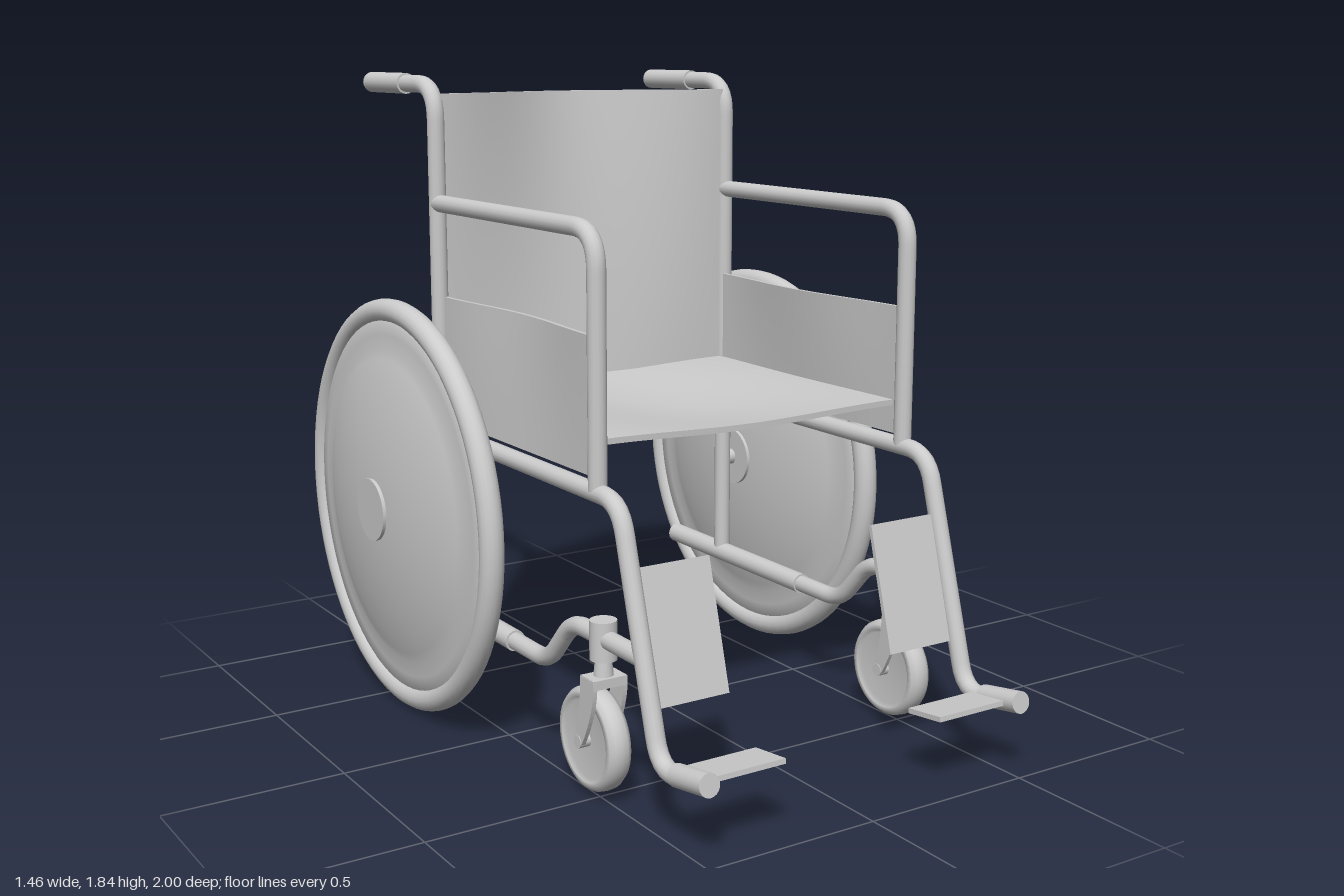
import * as THREE from 'three';

const material = new THREE.MeshStandardMaterial({ color: 0xcccccc, side: THREE.DoubleSide });

function add(parent, name, geometry, x = 0, y = 0, z = 0) {
  const mesh = new THREE.Mesh(geometry, material);
  mesh.name = name;
  mesh.position.set(x, y, z);
  parent.add(mesh);
  return mesh;
}

// Bent tube in a plane of constant x; points are [z, y], corners are rounded by r
function pipe(parent, name, x, points, r = 0.08, radius = 0.025) {
  const p = points.map(([z, y]) => new THREE.Vector3(x, y, z));
  const path = new THREE.CurvePath();
  let from = p[0];
  for (let i = 1; i < p.length - 1; i++) {
    const a = p[i].clone().add(p[i - 1].clone().sub(p[i]).setLength(r));
    const b = p[i].clone().add(p[i + 1].clone().sub(p[i]).setLength(r));
    path.add(new THREE.LineCurve3(from, a));
    path.add(new THREE.QuadraticBezierCurve3(a, p[i], b));
    from = b;
  }
  path.add(new THREE.LineCurve3(from, p[p.length - 1]));
  add(parent, name, new THREE.TubeGeometry(path, 80, radius, 14, false));
  for (const e of [p[0], p[p.length - 1]])
    add(parent, name + 'End', new THREE.SphereGeometry(radius, 14, 10), e.x, e.y, e.z);
}

// Straight cylinder along x or z
function rod(parent, name, axis, radius, length, x, y, z, sides = 32) {
  const g = new THREE.CylinderGeometry(radius, radius, length, sides);
  if (axis === 'x') g.rotateZ(Math.PI / 2);
  if (axis === 'z') g.rotateX(Math.PI / 2);
  return add(parent, name, g, x, y, z);
}

// Solid turned around the x axis; points are [radius, x]
function turned(parent, name, points, x, y, z, sides = 64) {
  const g = new THREE.LatheGeometry(points.map(([r, h]) => new THREE.Vector2(r, h)), sides);
  return add(parent, name, g.rotateZ(-Math.PI / 2), x, y, z);
}

// Thin subdivided box whose vertices are moved by a rule
function cloth(parent, name, size, segments, rule) {
  const g = new THREE.BoxGeometry(...size, ...segments);
  const pos = g.attributes.position;
  const v = new THREE.Vector3();
  for (let i = 0; i < pos.count; i++) {
    rule(v.fromBufferAttribute(pos, i));
    pos.setXYZ(i, v.x, v.y, v.z);
  }
  g.computeVertexNormals();
  return add(parent, name, g);
}

function bigWheel(parent, s) {
  const wheel = new THREE.Group();
  wheel.name = 'rearWheel';
  wheel.position.set(s * 0.633, 0.602, -0.397);
  parent.add(wheel);
  add(wheel, 'tyre', new THREE.TorusGeometry(0.568, 0.034, 16, 80).rotateY(Math.PI / 2));
  // Domed disc, the same on both faces
  const half = [[0.555, 0.016], [0.5, 0.02], [0.455, 0.025], [0.43, 0.033], [0.38, 0.047],
    [0.3, 0.064], [0.2, 0.079], [0.1, 0.087], [0, 0.09]];
  const profile = [...half.map(([r, h]) => [r, -h]).reverse(), ...half];
  turned(wheel, 'wheelDisc', profile, 0, 0, 0, 80);
  rod(wheel, 'hubCap', 'x', 0.09, 0.195, 0, 0, 0, 40);
  rod(wheel, 'axle', 'x', 0.025, 0.05, -s * 0.115, 0, 0, 16);
}

function caster(parent, s) {
  const group = new THREE.Group();
  group.name = 'caster';
  group.position.x = s * 0.497;
  parent.add(group);
  // Wheel with recessed faces
  turned(group, 'casterWheel', [[0, -0.022], [0.105, -0.022], [0.112, -0.034], [0.128, -0.032],
    [0.138, -0.018], [0.14, 0], [0.138, 0.018], [0.128, 0.032], [0.112, 0.034],
    [0.105, 0.022], [0, 0.022]], 0, 0.152, 0.47, 40);
  rod(group, 'casterAxle', 'x', 0.018, 0.106, 0, 0.152, 0.47, 16);
  // Swept fork blades, drawn in z and y
  const blade = new THREE.Shape();
  blade.moveTo(0.55, 0.335);
  blade.quadraticCurveTo(0.555, 0.26, 0.49, 0.15);
  blade.quadraticCurveTo(0.47, 0.13, 0.452, 0.152);
  blade.quadraticCurveTo(0.485, 0.25, 0.485, 0.335);
  blade.closePath();
  for (const side of [-1, 1]) {
    const g = new THREE.ExtrudeGeometry(blade, { depth: 0.012, bevelEnabled: false });
    g.rotateY(-Math.PI / 2).scale(1, 1, 1);
    add(group, 'forkBlade', g, side * 0.045 + 0.006, 0, 0);
  }
  add(group, 'forkCrown', new THREE.BoxGeometry(0.1, 0.025, 0.066), 0, 0.325, 0.518);
  add(group, 'stem', new THREE.CylinderGeometry(0.02, 0.028, 0.08, 20), 0, 0.36, 0.516);
  add(group, 'stemCollar', new THREE.CylinderGeometry(0.036, 0.036, 0.105, 24), 0, 0.432, 0.516);
}

function sideFrame(s) {
  const side = new THREE.Group();
  side.name = s > 0 ? 'leftSide' : 'rightSide';
  const x = s * 0.497;

  // Tube frame
  pipe(side, 'backPost', x, [[-0.39, 0.29], [-0.39, 1.805], [-0.6, 1.805]], 0.1);
  rod(side, 'pushGrip', 'z', 0.03, 0.24, x, 1.805, -0.7, 20);
  pipe(side, 'armrest', x, [[0.493, 0.82], [0.493, 1.472], [-0.38, 1.472]], 0.1);
  pipe(side, 'seatRailAndLeg', x,
    [[-0.39, 0.81], [0.6, 0.81], [0.785, 0.17], [0.97, 0.205]], 0.08);
  rod(side, 'footTubeEnd', 'z', 0.03, 0.14, x, 0.2, 0.929, 20).rotation.x = -0.17;
  pipe(side, 'lowerRail', x, [[0.69, 0.437], [0.365, 0.437], [0.23, 0.29], [-0.1, 0.29]], 0.06);
  rod(side, 'lowerRailSleeve', 'z', 0.03, 0.7, x, 0.29, -0.31, 20);

  // Leg pad and foot plate
  add(side, 'calfPad', new THREE.BoxGeometry(0.21, 0.35, 0.012), s * 0.368, 0.48, 0.69)
    .rotation.x = -0.27;
  add(side, 'footPlate', new THREE.BoxGeometry(0.23, 0.014, 0.125), s * 0.363, 0.197, 0.9)
    .rotation.x = -0.12;

  // Side panel, bowed slightly inward
  cloth(side, 'sidePanel', [0.012, 0.36, 0.88], [1, 8, 20], (v) => {
    const bow = Math.cos(Math.PI * v.z / 0.88) ** 2 * (v.y / 0.36 + 0.5);
    v.set(v.x + s * (0.488 - 0.03 * bow), v.y + 1.025, v.z + 0.048);
  });

  bigWheel(side, s);
  caster(side, s);
  return side;
}

export function createModel() {
  const model = new THREE.Group();
  model.name = 'wheelchair';
  model.add(sideFrame(1), sideFrame(-1));

  const bell = (x) => Math.cos(Math.PI * x / 0.97) ** 2;
  // Seat sags toward its middle
  cloth(model, 'seat', [0.97, 0.016, 0.86], [32, 1, 20], (v) => {
    const sag = bell(v.x) * (0.012 + 0.033 * Math.cos(Math.PI * v.z / 0.86));
    v.set(v.x, v.y + 0.932 - sag, v.z + 0.036);
  });
  // Backrest bows rearward, more toward the top
  cloth(model, 'backrest', [0.97, 0.85, 0.016], [32, 20, 1], (v) => {
    const t = v.y / 0.85 + 0.5;
    v.set(v.x, v.y + 1.355, v.z - 0.392 - 0.112 * bell(v.x) * t);
  });
  return model;
}
